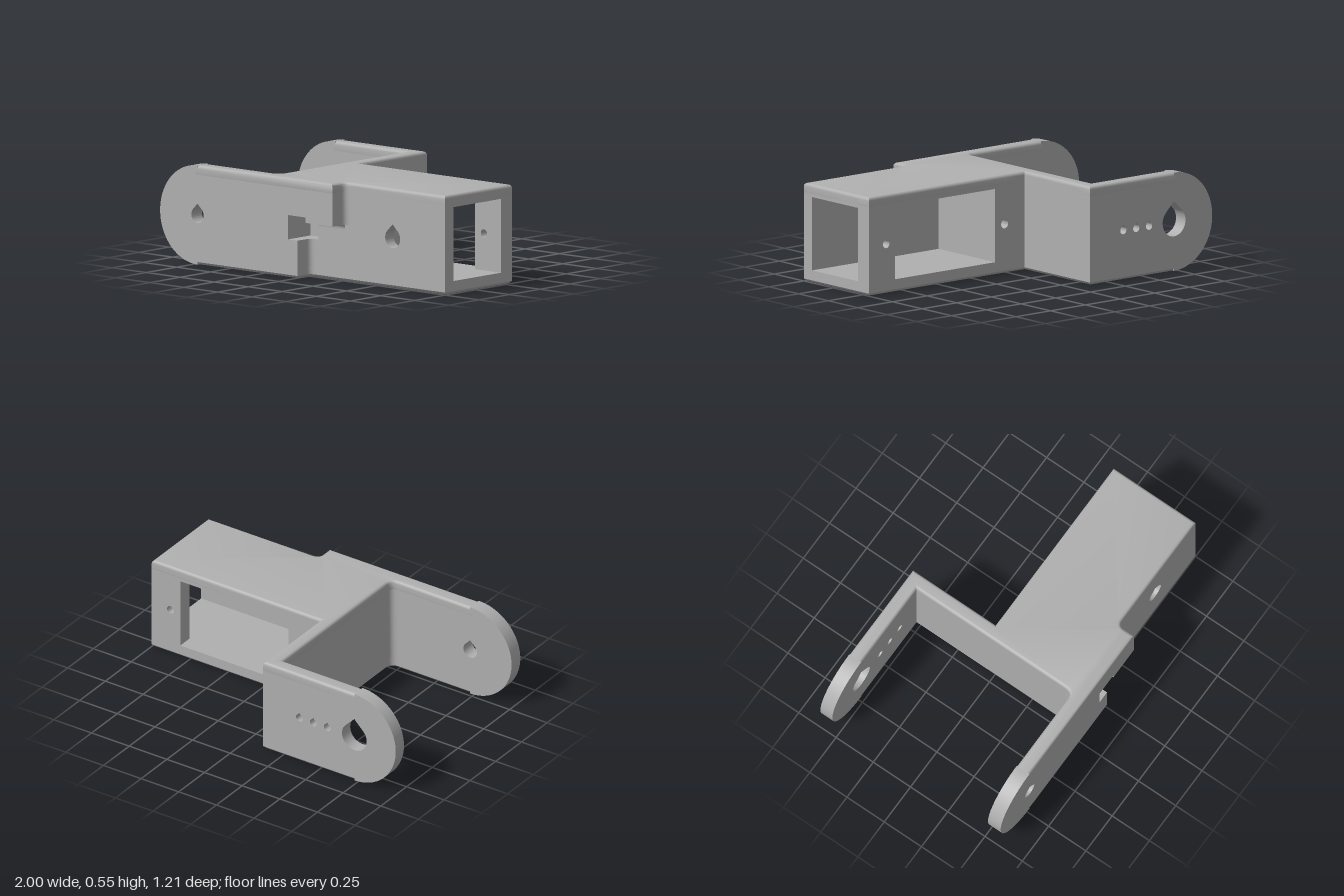
import * as THREE from 'three';
import { toCreasedNormals } from 'three/addons/utils/BufferGeometryUtils.js';

const H = 0.55, MID = H / 2, PIVOT = -0.725;
const LOW = 0.016, HIGH = 0.53; // wall core, between the softened edges

export function createModel() {
  const model = new THREE.Group();
  model.name = 'bracket';
  const grey = new THREE.MeshStandardMaterial({ color: 0xb0b0b0 });
  grey.name = 'grey plastic';

  const add = (name, geometry) => {
    const mesh = new THREE.Mesh(toCreasedNormals(geometry, 0.6), grey);
    mesh.name = name;
    model.add(mesh);
    return mesh;
  };
  const polygon = (pts) => new THREE.Shape(pts.map(([x, y]) => new THREE.Vector2(x, y)));
  const rect = (x0, x1, y0, y1) => polygon([[x0, y0], [x1, y0], [x1, y1], [x0, y1]]);

  // Teardrop hole, point upward
  const teardrop = (x, r, y = MID) => {
    const p = new THREE.Path();
    p.absarc(x, y, r, Math.PI * 0.75, Math.PI * 2.25, false);
    p.lineTo(x, y + r * 1.41);
    p.closePath();
    return p;
  };
  const circle = (x, r) => new THREE.Path().absarc(x, MID, r, 0, Math.PI * 2, false);

  // Plate in the xy plane spanning z0 to z1
  const plate = (name, shape, z0, z1, holes = []) => {
    shape.holes.push(...holes);
    const g = new THREE.ExtrudeGeometry(shape, { depth: z1 - z0, bevelEnabled: false, curveSegments: 32 });
    return add(name, g.translate(0, 0, z0));
  };

  // Block between two corners
  const block = (name, x0, x1, y0, y1, z0, z1) => add(name,
    new THREE.BoxGeometry(x1 - x0, y1 - y0, z1 - z0)
      .translate((x0 + x1) / 2, (y0 + y1) / 2, (z0 + z1) / 2));

  // Full plan outline with softened rim; the pad ends at padX
  const skin = (name, padX, y0, bevel, segments) => {
    const s = new THREE.Shape();
    const to = (...pts) => pts.forEach(([x, z]) => s.lineTo(x, -z));
    s.moveTo(-0.74, -0.605);
    to([padX, 0.605], [padX, 0.54]);
    s.quadraticCurveTo(padX, -0.5, padX + 0.04, -0.5);
    to([1, 0.5], [1, -0.05], [-0.12, -0.05], [-0.12, -0.605], [-0.74, -0.605],
      [-0.74, -0.525], [-0.2, -0.525], [-0.2, 0.475]);
    s.quadraticCurveTo(-0.2, -0.52, -0.245, -0.52);
    to([-0.74, 0.52]);
    const g = new THREE.ExtrudeGeometry(s, {
      depth: 0.07 - 2 * bevel, bevelThickness: bevel, bevelSize: bevel,
      bevelOffset: -bevel, bevelSegments: segments, curveSegments: 6,
    });
    add(name, g.rotateX(-Math.PI / 2).translate(0, y0 + bevel, 0));
  };
  skin('topSkin', 0.265, 0.48, 0.018, 4);
  skin('bottomSkin', 0.01, 0, 0.014, 1);

  // Concave corner strip, drawn in a plane and extruded
  const filletShape = (u, v, a, b) => {
    const s = new THREE.Shape();
    s.moveTo(u, v);
    s.lineTo(u + a, v);
    s.quadraticCurveTo(u, v, u, v + b);
    s.closePath();
    return s;
  };
  const upright = (name, x, z, a, b, y0, y1) => add(name,
    new THREE.ExtrudeGeometry(filletShape(x, -z, a, -b), { depth: y1 - y0, bevelEnabled: false, curveSegments: 6 })
      .rotateX(-Math.PI / 2).translate(0, y0, 0));
  upright('innerArmFillet', -0.2, 0.52, -0.045, -0.045, LOW, HIGH);
  upright('upperPadFillet', 0.265, 0.5, 0.04, 0.04, 0.315, HIGH);
  upright('lowerPadFillet', 0.01, 0.5, 0.04, 0.04, LOW, 0.21);
  // Strip under the overhanging half of the pad
  add('padUndersideFillet',
    new THREE.ExtrudeGeometry(filletShape(-0.5, 0.315, -0.03, -0.03), { depth: 0.195, bevelEnabled: false, curveSegments: 6 })
      .rotateY(Math.PI / 2).translate(0.07, 0, 0));

  // Round-ended fork arms
  const arm = (name, x1, z0, z1, holes) => {
    const s = new THREE.Shape();
    s.moveTo(x1, HIGH);
    s.lineTo(PIVOT, HIGH);
    s.lineTo(PIVOT, H);
    s.absarc(PIVOT, MID, MID, Math.PI / 2, Math.PI * 1.5, false);
    s.lineTo(PIVOT, LOW);
    s.lineTo(x1, LOW);
    s.closePath();
    plate(name, s, z0, z1, holes);
  };
  arm('frontArm', -0.2, 0.52, 0.605, [teardrop(PIVOT, 0.045)]);
  arm('backArm', -0.12, -0.605, -0.525, [
    teardrop(PIVOT, 0.082),
    ...[-0.36, -0.453, -0.545].map((x) => teardrop(x, 0.022)),
  ]);

  // Wall joining the back arm to the body
  block('crossWall', -0.2, -0.12, LOW, HIGH, -0.525, -0.05);

  // Stepped front pad with the pocket cut into its edge
  plate('frontPad', polygon([
    [-0.2, LOW], [0.01, LOW], [0.01, 0.21], [-0.06, 0.21], [-0.06, 0.345], [0.07, 0.345],
    [0.07, 0.315], [0.265, 0.315], [0.265, HIGH], [-0.2, HIGH],
  ]), 0.5, 0.605);

  // Solid body core: screw hole behind a square pocket
  plate('bodyCore', rect(-0.2, 0.09, LOW, HIGH), -0.05, 0.42, [circle(0.022, 0.025)]);
  plate('pocketSurround', rect(-0.2, 0.09, LOW, HIGH), 0.42, 0.5, [rect(-0.06, 0.07, 0.21, 0.345)]);

  // Hollow housing walls
  plate('housingFrontWall', rect(0.09, 1, LOW, HIGH), 0.43, 0.5, [teardrop(0.615, 0.055)]);
  plate('housingBackWall', rect(0.09, 1, LOW, HIGH), -0.05, 0.04,
    [rect(0.09 + 0.001, 0.81, 0.07, 0.48), circle(0.875, 0.023)]);

  // Sill and lintel of the open end
  block('endSill', 0.94, 1, LOW, 0.07, 0.04, 0.43);
  block('endLintel', 0.94, 1, 0.48, HIGH, 0.04, 0.43);

  return model;
}
